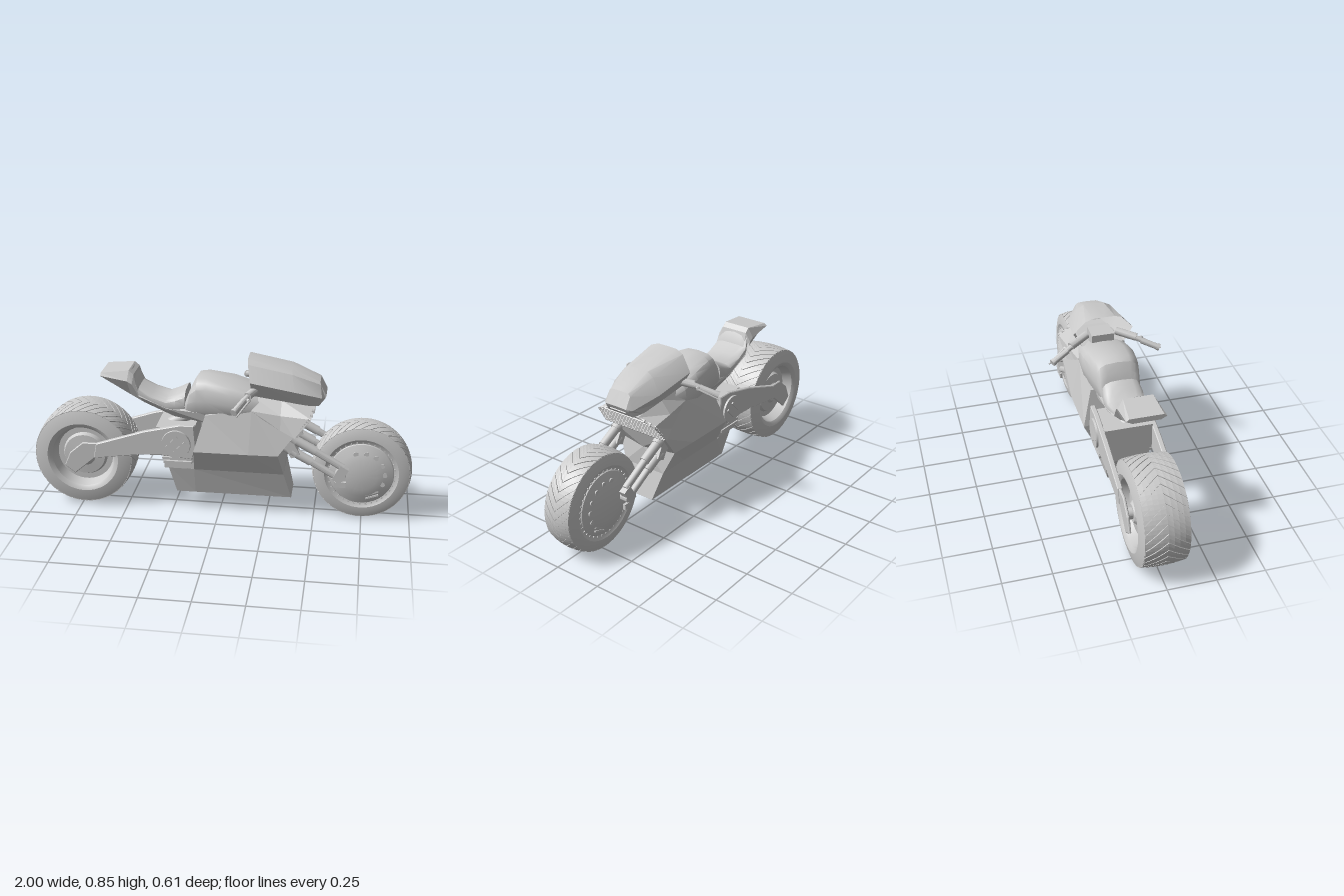
import * as THREE from 'three';
import { mergeGeometries, toCreasedNormals } from 'three/addons/utils/BufferGeometryUtils.js';

const smooth = new THREE.MeshStandardMaterial({ color: 0xcccccc, side: THREE.DoubleSide });
const flat = new THREE.MeshStandardMaterial({ color: 0xcccccc, flatShading: true, side: THREE.DoubleSide });

function add(parent, name, geo, mat = flat) {
  const mesh = new THREE.Mesh(geo, mat);
  mesh.name = name;
  parent.add(mesh);
  return mesh;
}

// Skin over half outlines [x, y, z] (top to bottom, z >= 0), mirrored across z = 0
function loft(halves, openStart = false) {
  const rings = halves.map(h => [...h, ...h.filter(p => p[2] > 0).reverse().map(([x, y, z]) => [x, y, -z])]);
  const n = rings[0].length, pos = rings.flat(2), index = [];
  for (let i = 0; i < rings.length - 1; i++) {
    for (let j = 0; j < n; j++) {
      const a = i * n + j, b = i * n + (j + 1) % n;
      index.push(a, b, b + n, a, b + n, a + n);
    }
  }
  const cap = (r, flip) => {
    const c = pos.length / 3;
    for (let k = 0; k < 3; k++) pos.push(rings[r].reduce((s, p) => s + p[k], 0) / n);
    for (let j = 0; j < n; j++) {
      const a = r * n + j, b = r * n + (j + 1) % n;
      index.push(...(flip ? [c, b, a] : [c, a, b]));
    }
  };
  if (!openStart) cap(0, true);
  cap(rings.length - 1, false);
  const g = new THREE.BufferGeometry();
  g.setAttribute('position', new THREE.Float32BufferAttribute(pos, 3));
  g.setIndex(index);
  g.computeVertexNormals();
  return g;
}

// Rounded half outline at x, between two heights, with a half width
function round(x, top, bottom, w, lean = 0) {
  return Array.from({ length: 9 }, (_, i) => {
    const a = i / 8 * Math.PI, c = Math.cos(a), s = Math.sin(a);
    const v = Math.sign(c) * Math.abs(c) ** 0.65;
    return [x + lean * v, (top + bottom) / 2 + v * (top - bottom) / 2, i % 8 ? w * s ** 0.6 : 0];
  });
}

function rod(parent, name, a, b, r, r2 = r, sides = 14) {
  const from = new THREE.Vector3(...a), to = new THREE.Vector3(...b), d = to.clone().sub(from);
  const m = add(parent, name, toCreasedNormals(new THREE.CylinderGeometry(r2, r, d.length(), sides), 0.7), smooth);
  m.position.copy(from).addScaledVector(d, 0.5);
  m.quaternion.setFromUnitVectors(new THREE.Vector3(0, 1, 0), d.normalize());
}

function box(parent, name, size, at, turn = 0) {
  const m = add(parent, name, new THREE.BoxGeometry(...size));
  m.position.set(...at);
  m.rotation.z = turn;
}

// Side plate cut from an outline in x, y, on side s between z and z + depth
function plate(parent, name, pts, s, z, depth) {
  const shape = new THREE.Shape(pts.map(p => new THREE.Vector2(...p)));
  const b = 0.004;
  const g = new THREE.ExtrudeGeometry(shape, { depth: depth - 2 * b, bevelThickness: b, bevelSize: b, bevelSegments: 1 });
  add(parent, name, g).position.z = s > 0 ? z + b : -z - depth + b;
}

// Wheel: mirrored lathe profile [radius, z] plus chevron tread blocks
function wheel(name, x, y, half, R, w, drop, count, h) {
  const g = new THREE.Group();
  g.name = name;
  g.position.set(x, y, 0);
  const pts = [...half.map(([r, z]) => [r, -z]), ...half.slice(0, -1).reverse()].map(p => new THREE.Vector2(...p));
  add(g, 'tyreAndRim', toCreasedNormals(new THREE.LatheGeometry(pts, 64).rotateX(Math.PI / 2), 0.4), smooth);
  const blocks = [], pitch = 2 * Math.PI / count;
  for (let i = 0; i < count; i++) {
    const b = new THREE.BoxGeometry(1, 1, 2, 2, 1, 8), p = b.attributes.position;
    for (let k = 0; k < p.count; k++) {
      const t = Math.abs(p.getZ(k));
      const a = (i + p.getX(k) * 0.88) * pitch - t * 0.32;
      const r = R - drop * t ** 2 + (p.getY(k) - 0.5) * h;
      p.setXYZ(k, r * Math.sin(a), r * Math.cos(a), p.getZ(k) * w);
    }
    blocks.push(b);
  }
  add(g, 'chevronTread', mergeGeometries(blocks));
  return g;
}

export function createModel() {
  const model = new THREE.Group();
  model.name = 'motorcycle';

  // Wheels
  const rear = wheel('rearWheel', -0.73, 0.28, [[0, 0.1], [0.045, 0.1], [0.06, 0.085], [0.11, 0.08], [0.12, 0.06],
    [0.15, 0.06], [0.168, 0.112], [0.178, 0.12], [0.192, 0.126], [0.225, 0.121], [0.258, 0.111], [0.263, 0.06], [0.265, 0]],
    0.271, 0.11, 0.009, 36, 0.012);
  const front = wheel('frontWheel', 0.74, 0.262, [[0, 0.112], [0.08, 0.11], [0.12, 0.1], [0.165, 0.084], [0.168, 0.078],
    [0.178, 0.08], [0.192, 0.088], [0.22, 0.085], [0.247, 0.076], [0.254, 0.04], [0.256, 0]],
    0.261, 0.075, 0.011, 34, 0.012);
  model.add(rear, front);
  for (const s of [1, -1]) {
    for (let i = 0; i < 6; i++) {
      const a = 1.85 - i * 0.45, x = 0.12 * Math.cos(a), y = 0.12 * Math.sin(a);
      rod(front, 'coverBoss', [x, y, s * 0.08], [x, y, s * 0.102], 0.013);
    }
    for (let i = 0; i < 3; i++) box(front, 'coverVent', [0.07, 0.009, 0.025], [0.06, -0.08 - i * 0.02, s * 0.088], 0.35);
    for (let i = 0; i < 36; i++) {
      const a = i * Math.PI / 18;
      box(front, 'rimStud', [0.008, 0.008, 0.008], [0.173 * Math.cos(a), 0.173 * Math.sin(a), s * 0.079], a);
    }
  }

  // Lower bodywork, tapering inward to the floor
  add(model, 'bellyPan', loft([
    [[-0.27, 0.26, 0.115], [-0.23, 0.1, 0.085]],
    [[-0.13, 0.25, 0.122], [-0.13, 0.1, 0.085]],
    [[0.34, 0.25, 0.122], [0.38, 0.1, 0.08]]]));
  add(model, 'sideFairing', loft([
    [[-0.07, 0.56, 0.13], [-0.125, 0.375, 0.182], [-0.13, 0.25, 0.122]],
    [[0.17, 0.61, 0.13], [0.16, 0.375, 0.18], [0.16, 0.25, 0.122]],
    [[0.39, 0.49, 0.174], [0.312, 0.375, 0.176], [0.34, 0.25, 0.122]]]));

  // Front fairing with a radiator that leans back towards its lower edge
  add(model, 'frontFairing', loft([
    [[0.17, 0.67, 0.1], [0.17, 0.6, 0.135], [0.23, 0.56, 0.145]],
    [[0.32, 0.655, 0.1], [0.32, 0.59, 0.155], [0.32, 0.515, 0.165]],
    [[0.49, 0.622, 0.09], [0.475, 0.588, 0.178], [0.395, 0.487, 0.193]]]));
  for (let i = 0; i < 10; i++) {
    const t = i / 9, y = 0.497 + t * 0.112;
    const half = Math.min(0.188 - t * 0.012, 0.172 - (y - 0.59) * 2.4);
    box(model, 'radiatorSlat', [0.016, 0.007, 2 * half], [0.404 + t * 0.078, y, 0], -0.65);
  }

  // Head cowl, open at the back
  add(model, 'headCowl', toCreasedNormals(loft([
    [[0.14, 0.853, 0], [0.14, 0.852, 0.058], [0.145, 0.836, 0.1], [0.163, 0.76, 0.16], [0.17, 0.677, 0.115]],
    [[0.366, 0.812, 0], [0.366, 0.81, 0.055], [0.37, 0.79, 0.09], [0.385, 0.715, 0.142], [0.35, 0.648, 0.105]],
    [[0.51, 0.748, 0], [0.51, 0.746, 0.05], [0.512, 0.735, 0.064], [0.522, 0.67, 0.088], [0.45, 0.628, 0.092]],
    [[0.543, 0.678, 0], [0.543, 0.677, 0.05], [0.543, 0.676, 0.062], [0.538, 0.665, 0.066], [0.508, 0.626, 0.076]]],
    true), 0.45), smooth);
  box(model, 'headlamp', [0.006, 0.01, 0.1], [0.527, 0.648, 0], -0.6);
  box(model, 'steeringHead', [0.1, 0.1, 0.12], [0.22, 0.68, 0]);

  // Tank
  add(model, 'tank', toCreasedNormals(loft([
    round(-0.185, 0.655, 0.52, 0.095, 0.02), round(-0.165, 0.7, 0.52, 0.105, 0.02), round(-0.12, 0.74, 0.52, 0.115),
    round(-0.07, 0.746, 0.52, 0.125), round(0.06, 0.725, 0.52, 0.14), round(0.16, 0.695, 0.52, 0.135), round(0.26, 0.66, 0.52, 0.11)]), 0.6), smooth);

  // Tail and seat
  add(model, 'tail', loft([
    [[-0.62, 0.75, 0.085], [-0.62, 0.738, 0.1], [-0.62, 0.722, 0.07]],
    [[-0.475, 0.766, 0.075], [-0.48, 0.715, 0.102], [-0.47, 0.632, 0.065]],
    [[-0.45, 0.745, 0.075], [-0.455, 0.7, 0.102], [-0.44, 0.615, 0.065]],
    [[-0.425, 0.66, 0.08], [-0.42, 0.635, 0.102], [-0.4, 0.592, 0.065]],
    [[-0.275, 0.605, 0.08], [-0.275, 0.575, 0.102], [-0.24, 0.524, 0.07]],
    [[-0.05, 0.59, 0.1], [-0.05, 0.56, 0.11], [-0.05, 0.505, 0.1]]]));
  add(model, 'seatCushion', toCreasedNormals(loft([
    round(-0.468, 0.762, 0.7, 0.078), round(-0.447, 0.735, 0.66, 0.09), round(-0.425, 0.676, 0.62, 0.098), round(-0.36, 0.643, 0.59, 0.1),
    round(-0.28, 0.622, 0.55, 0.102), round(-0.23, 0.645, 0.535, 0.105), round(-0.18, 0.672, 0.53, 0.1)]), 0.7), smooth);

  // Swingarm cross member, engine rear block, rear axle
  box(model, 'swingarmBridge', [0.2, 0.14, 0.25], [-0.23, 0.41, 0]);
  box(model, 'rearBlock', [0.16, 0.1, 0.24], [-0.21, 0.3, 0]);
  rod(model, 'rearAxle', [-0.73, 0.28, -0.14], [-0.73, 0.28, 0.14], 0.03);
  rod(model, 'rearShock', [-0.3, 0.44, 0], [-0.14, 0.53, 0], 0.03);

  for (const s of [1, -1]) {
    const side = new THREE.Group();
    side.name = s > 0 ? 'nearSideParts' : 'farSideParts';
    model.add(side);

    // Swingarm
    plate(side, 'swingarm', [[-0.66, 0.295], [-0.42, 0.33], [-0.3, 0.335], [-0.14, 0.32], [-0.12, 0.38], [-0.13, 0.5],
      [-0.2, 0.5], [-0.39, 0.455], [-0.645, 0.37]], s, 0.122, 0.026);
    plate(side, 'axlePlate', [[-0.66, 0.295], [-0.77, 0.2], [-0.82, 0.24], [-0.79, 0.31], [-0.72, 0.37], [-0.645, 0.37]], s, 0.128, 0.014);
    rod(side, 'pivotCover', [-0.22, 0.4, s * 0.13], [-0.22, 0.4, s * 0.158], 0.08, 0.075, 32);
    for (const o of [-0.02, 0.02]) box(side, 'pivotSlot', [0.08, 0.012, 0.008], [-0.22 + o, 0.4 - o * 0.7, s * 0.16], 0.8);
    for (let i = 0; i < 3; i++) box(side, 'stepSlat', [0.17 - i * 0.01, 0.014, 0.03], [-0.215, 0.335 - i * 0.021, s * 0.13]);

    // Twin fork tubes and axle clamp
    const z = s * 0.133;
    rod(side, 'upperForkSleeve', [0.33, 0.49, z], [0.5, 0.4, z], 0.024);
    rod(side, 'upperForkTube', [0.48, 0.41, z], [0.645, 0.315, z], 0.019);
    rod(side, 'lowerForkSleeve', [0.32, 0.425, z], [0.48, 0.34, z], 0.024);
    rod(side, 'lowerForkTube', [0.46, 0.35, z], [0.625, 0.255, z], 0.018);
    for (const y of [0.458, 0.388]) rod(side, 'forkCollar', [0.378, y + 0.007, z], [0.402, y - 0.007, z], 0.028);
    box(side, 'forkClamp', [0.05, 0.13, 0.05], [0.37, 0.43, z], 0.5);
    box(side, 'axleClamp', [0.05, 0.09, 0.034], [0.632, 0.28, s * 0.136], -0.5);
    box(side, 'clampFoot', [0.06, 0.03, 0.014], [0.633, 0.22, s * 0.137]);
    rod(side, 'axleStub', [0.64, 0.265, s * 0.08], [0.64, 0.265, s * 0.152], 0.022);

    // Handlebar, grip and lever
    rod(side, 'handlebarRoot', [0.21, 0.72, s * 0.08], [0.155, 0.697, s * 0.178], 0.021);
    rod(side, 'handlebar', [0.162, 0.7, s * 0.16], [0.125, 0.67, s * 0.235], 0.014);
    rod(side, 'grip', [0.14, 0.682, s * 0.2], [0.1, 0.65, s * 0.285], 0.016);
    rod(side, 'gripEnd', [0.104, 0.653, s * 0.277], [0.098, 0.648, s * 0.29], 0.019);
    rod(side, 'leverMount', [0.14, 0.685, s * 0.19], [0.168, 0.685, s * 0.21], 0.009);
    rod(side, 'lever', [0.168, 0.685, s * 0.205], [0.115, 0.634, s * 0.304], 0.006, 0.004, 8);
  }
  return model;
}
